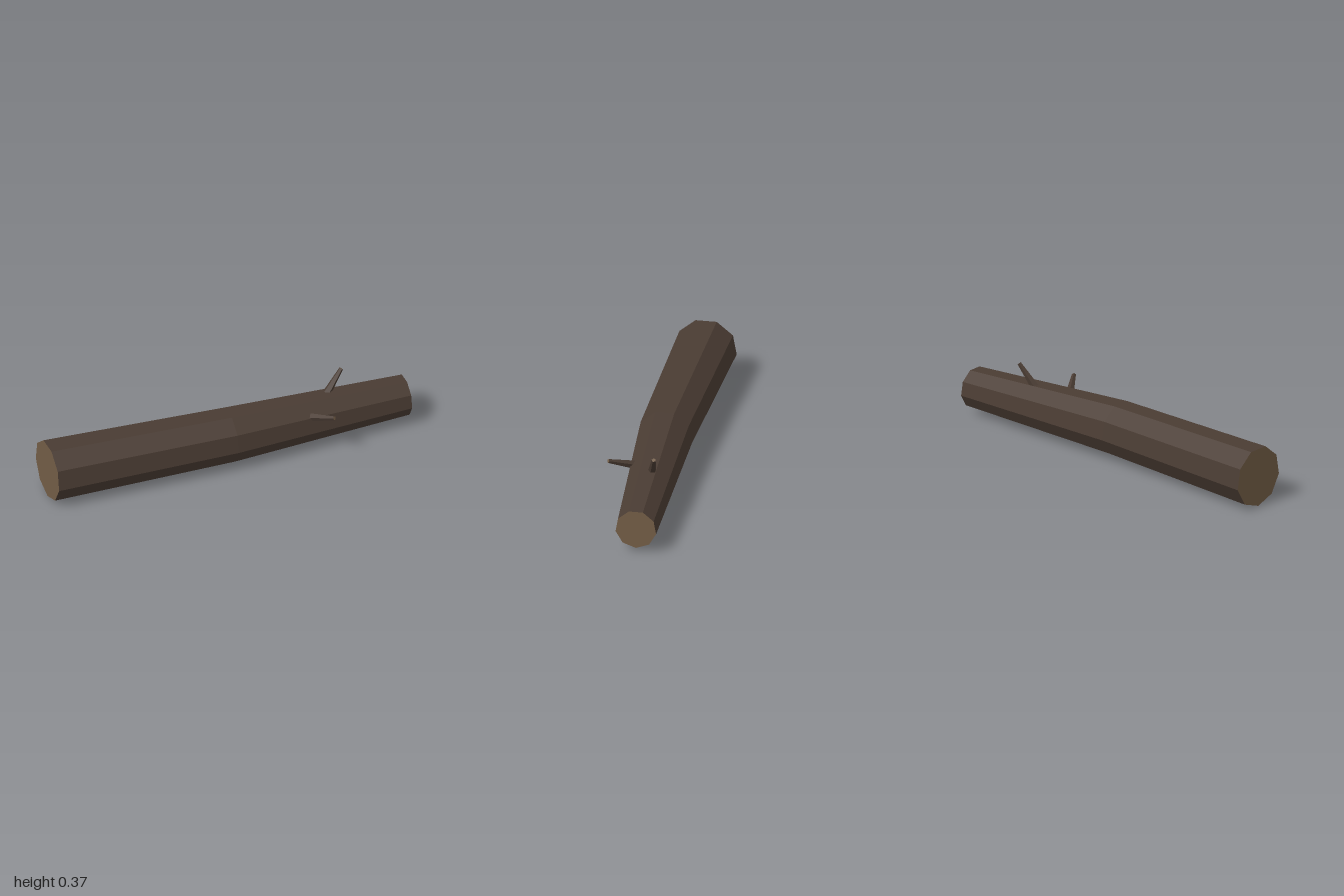
import * as THREE from 'three';

export function createModel() {
  const group = new THREE.Group();
  group.name = 'fallenLog';

  const bark = new THREE.MeshStandardMaterial({ color: 0x4a3c33, flatShading: true });
  bark.name = 'bark';
  const cutWood = new THREE.MeshStandardMaterial({ color: 0x735d46, flatShading: true });
  cutWood.name = 'cut wood';
  const materials = [bark, cutWood, cutWood]; // side, far end, near end

  // Trunk: nine-sided tube with three rings (x = -1, 0, 1), bent and tapered
  const rings = [
    { y: 0.164, z: -0.049, r: 0.164 },
    { y: 0.157, z: -0.005, r: 0.147 },
    { y: 0.132, z: -0.027, r: 0.109 },
  ];
  const trunkGeometry = new THREE.CylinderGeometry(1, 1, 2, 9, 2, false, Math.PI / 2);
  trunkGeometry.rotateZ(-Math.PI / 2);
  const p = trunkGeometry.attributes.position;
  for (let i = 0; i < p.count; i++) {
    const ring = rings[Math.round(p.getX(i)) + 1];
    p.setY(i, ring.y + p.getY(i) * ring.r);
    p.setZ(i, ring.z + p.getZ(i) * ring.r);
  }
  trunkGeometry.computeVertexNormals();
  const trunk = new THREE.Mesh(trunkGeometry, materials);
  trunk.name = 'trunk';
  group.add(trunk);

  // Branch stubs: tapered five-sided pegs rooted inside the trunk
  function addBranch(name, base, tip) {
    const end = new THREE.Vector3(...tip);
    const start = new THREE.Vector3(...base);
    const axis = end.clone().sub(start);
    const geometry = new THREE.CylinderGeometry(0.011, 0.024, axis.length(), 5);
    const branch = new THREE.Mesh(geometry, materials);
    branch.position.copy(start).add(end).multiplyScalar(0.5);
    branch.quaternion.setFromUnitVectors(new THREE.Vector3(0, 1, 0), axis.normalize());
    branch.name = name;
    group.add(branch);
  }
  addBranch('upperBranch', [0.56, 0.238, -0.036], [0.658, 0.365, -0.062]);
  addBranch('frontBranch', [0.425, 0.203, 0.068], [0.513, 0.26, 0.204]);

  return group;
}
